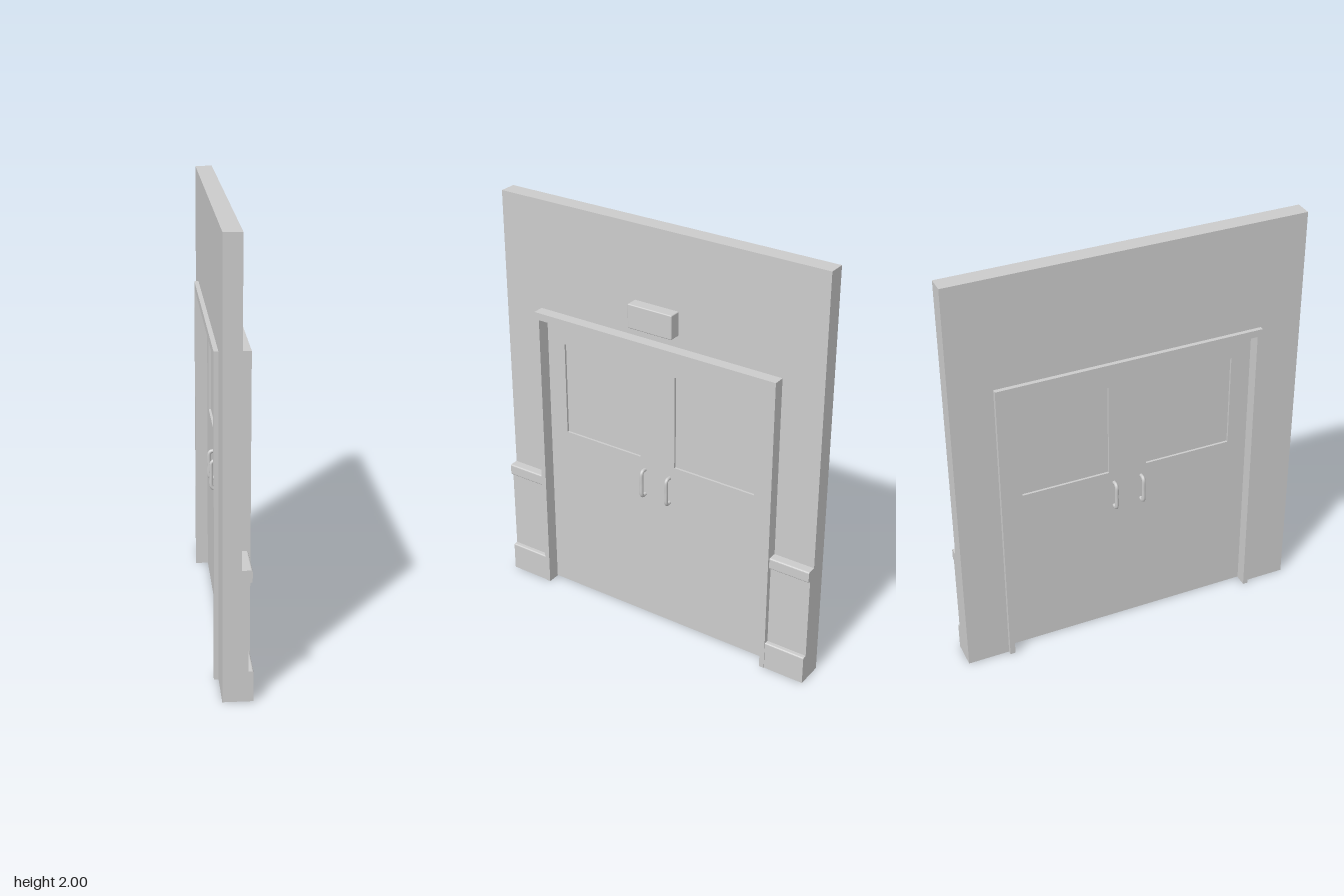
import * as THREE from 'three';
import { RoundedBoxGeometry } from 'three/addons/geometries/RoundedBoxGeometry.js';

const material = new THREE.MeshStandardMaterial({ color: 0xcccccc });

// Wall faces, door opening and frame sizes
const WALL_BACK = -0.06, WALL_FRONT = 0.02, HALF_WIDTH = 0.835;
const OPEN_Z = 0.61, OPEN_Y = 1.44, FRAME_Z = 0.635, FRAME_Y = 1.475;
const DOOR_BACK = -0.02, DOOR_FRONT = 0.013;

function add(group, name, geometry) {
  const mesh = new THREE.Mesh(geometry, material);
  mesh.name = name;
  group.add(mesh);
  return mesh;
}

// Box given by its low and high corners
function box(x0, x1, y0, y1, z0, z1) {
  return new THREE.BoxGeometry(x1 - x0, y1 - y0, z1 - z0)
    .translate((x0 + x1) / 2, (y0 + y1) / 2, (z0 + z1) / 2);
}

// Closed outline from [z, y] or [x, y] pairs
function outline(points, Type = THREE.Shape) {
  return new Type(points.map(([a, b]) => new THREE.Vector2(a, b)));
}

function rect(a0, a1, b0, b1, Type) {
  return outline([[a0, b0], [a1, b0], [a1, b1], [a0, b1]], Type);
}

// Extrude a [z, y] outline through the wall thickness, from x0 to x1
function extrudeX(shape, x0, x1) {
  return new THREE.ExtrudeGeometry(shape, { depth: x1 - x0, bevelEnabled: false })
    .rotateY(Math.PI / 2).translate(x0, 0, 0);
}

// Inverted U around the doorway
function archway(outerZ, outerY) {
  return outline([[-outerZ, 0], [-OPEN_Z, 0], [-OPEN_Z, OPEN_Y], [OPEN_Z, OPEN_Y],
    [OPEN_Z, 0], [outerZ, 0], [outerZ, outerY], [-outerZ, outerY]]);
}

// Extrude an [x, y] profile along the wall beside the door
function trim(shape, side) {
  const length = HALF_WIDTH - FRAME_Z;
  return new THREE.ExtrudeGeometry(shape, { depth: length, bevelEnabled: false, curveSegments: 6 })
    .translate(0, 0, side > 0 ? FRAME_Z : -HALF_WIDTH);
}

// Trim profile with rounded outer corners
function trimProfile(x, y0, y1, topRadius, bottomRadius) {
  const s = new THREE.Shape();
  s.moveTo(WALL_FRONT, y0);
  s.lineTo(x - bottomRadius, y0);
  if (bottomRadius) s.quadraticCurveTo(x, y0, x, y0 + bottomRadius);
  s.lineTo(x, y1 - topRadius);
  s.quadraticCurveTo(x, y1, x - topRadius, y1);
  s.lineTo(WALL_FRONT, y1);
  return s;
}

// Pull handle: a bent bar standing off the door face
function handleGeometry(face, dir, z) {
  const out = face + dir * 0.03;
  const path = new THREE.CatmullRomCurve3([
    [face, 0.67], [face + dir * 0.02, 0.67], [out, 0.685], [out, 0.735],
    [out, 0.785], [face + dir * 0.02, 0.80], [face, 0.80],
  ].map(([x, y]) => new THREE.Vector3(x, y, z)), false, 'catmullrom', 0.4);
  return new THREE.TubeGeometry(path, 36, 0.009, 10);
}

export function createModel() {
  const model = new THREE.Group();
  model.name = 'doubleDoorWall';

  add(model, 'wall', extrudeX(archway(HALF_WIDTH, 2), WALL_BACK, WALL_FRONT));
  add(model, 'doorFrame', extrudeX(archway(FRAME_Z, FRAME_Y), -0.08, 0.075));

  // Sign box above the doorway
  const sign = add(model, 'signBox', new RoundedBoxGeometry(0.06, 0.115, 0.23, 2, 0.005));
  sign.position.set(0.045, 1.588, 0);

  for (const side of [-1, 1]) {
    const label = side > 0 ? 'Left' : 'Right';

    // Door leaf with a window opening
    const door = new THREE.Group();
    door.name = 'door' + label;
    model.add(door);
    const leaf = rect(Math.min(0, side * OPEN_Z), Math.max(0, side * OPEN_Z), 0.003, OPEN_Y);
    const z0 = side > 0 ? 0.093 : -0.515, z1 = side > 0 ? 0.515 : -0.093;
    // The extrusion turn flips z, so the outline is mirrored first
    const mirrored = outline(leaf.getPoints().map((p) => [-p.x, p.y]).reverse());
    mirrored.holes.push(rect(-z1, -z0, 0.86, 1.32, THREE.Path));
    add(door, 'leaf' + label, extrudeX(mirrored, DOOR_BACK, DOOR_FRONT));
    add(door, 'windowPane' + label, box(-0.009, 0.002, 0.86, 1.32, z0, z1));

    // Handles on both faces
    add(door, 'frontHandle' + label, handleGeometry(DOOR_FRONT, 1, side * 0.068));
    add(door, 'backHandle' + label, handleGeometry(DOOR_BACK, -1, side * 0.068));

    // Wall protection beside the door
    const wainscot = new THREE.Group();
    wainscot.name = 'wainscot' + label;
    model.add(wainscot);
    add(wainscot, 'baseboard' + label, trim(trimProfile(0.072, 0, 0.14, 0.008, 0), side));
    add(wainscot, 'panel' + label, trim(rect(WALL_FRONT, 0.05, 0.14, 0.545), side));
    add(wainscot, 'bumperRail' + label, trim(trimProfile(0.065, 0.545, 0.6, 0.008, 0.008), side));
  }
  return model;
}
